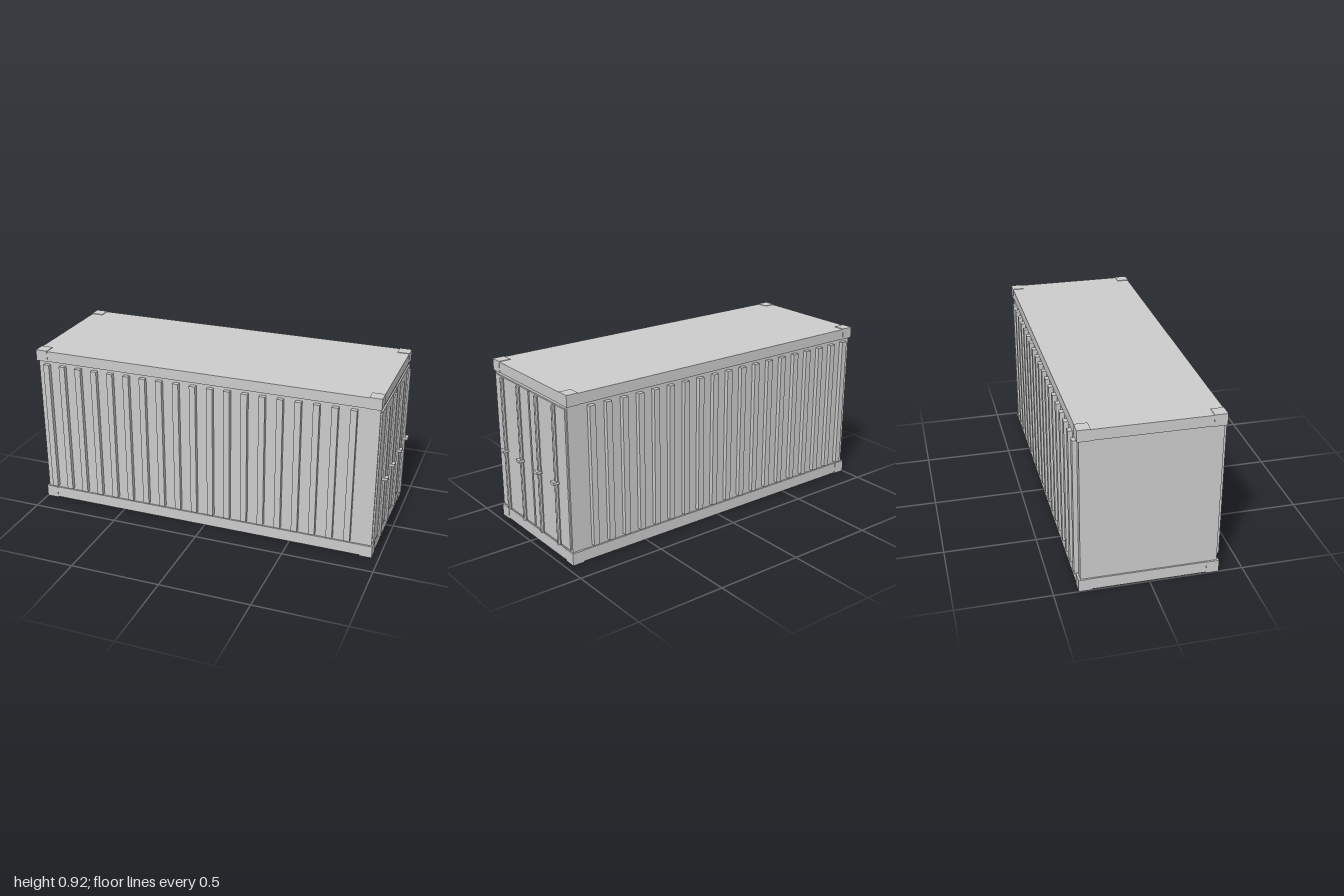
import * as THREE from 'three';

export function createModel() {
  const model = new THREE.Group();
  const material = new THREE.MeshStandardMaterial({ color: 0xcccccc, flatShading: true });

  const add = (name, geometry, x, y, z) => {
    const mesh = new THREE.Mesh(geometry, material);
    mesh.name = name;
    mesh.position.set(x, y, z);
    model.add(mesh);
    return mesh;
  };
  // Box given by its limits on each axis
  const box = (name, [x0, x1], [y0, y1], [z0, z1]) =>
    add(name, new THREE.BoxGeometry(x1 - x0, y1 - y0, z1 - z0), (x0 + x1) / 2, (y0 + y1) / 2, (z0 + z1) / 2);

  // Closed body between the floor and roof frames
  box('body', [-0.99, 0.955], [0.03, 0.9], [-0.36, 0.36]);
  box('floorFrame', [-0.998, 0.96], [0.004, 0.068], [-0.369, 0.369]);
  box('roofFrame', [-0.998, 0.96], [0.862, 0.921], [-0.369, 0.369]);

  // Corner castings, slightly proud of the frames
  for (const x of [[-1, -0.932], [0.894, 0.962]]) {
    for (const z of [[-0.371, -0.303], [0.303, 0.371]]) {
      box('lowerCorner', x, [0, 0.068], z);
      box('upperCorner', x, [0.861, 0.924], z);
    }
  }

  // Vertical ribs along both long walls
  for (let i = 0; i < 19; i++) {
    const x = -0.936 + i * 0.0977;
    box('frontRib', [x - 0.017, x + 0.017], [0.081, 0.846], [0.35, 0.384]);
    box('backRib', [x - 0.017, x + 0.017], [0.081, 0.846], [-0.384, -0.35]);
  }

  // Double doors on the right-hand end
  box('leftDoor', [0.94, 0.963], [0.081, 0.846], [0.006, 0.35]);
  box('rightDoor', [0.94, 0.963], [0.081, 0.846], [-0.35, -0.006]);

  // Locking rods with handles
  const rod = new THREE.CylinderGeometry(0.011, 0.011, 0.765, 8);
  for (const z of [-0.26, -0.092, 0.092, 0.262]) {
    add('lockingRod', rod, 0.974, 0.4635, z);
    box('rodHandle', [0.968, 1], [0.426, 0.441], [z - 0.018, z + 0.018]);
  }
  return model;
}
